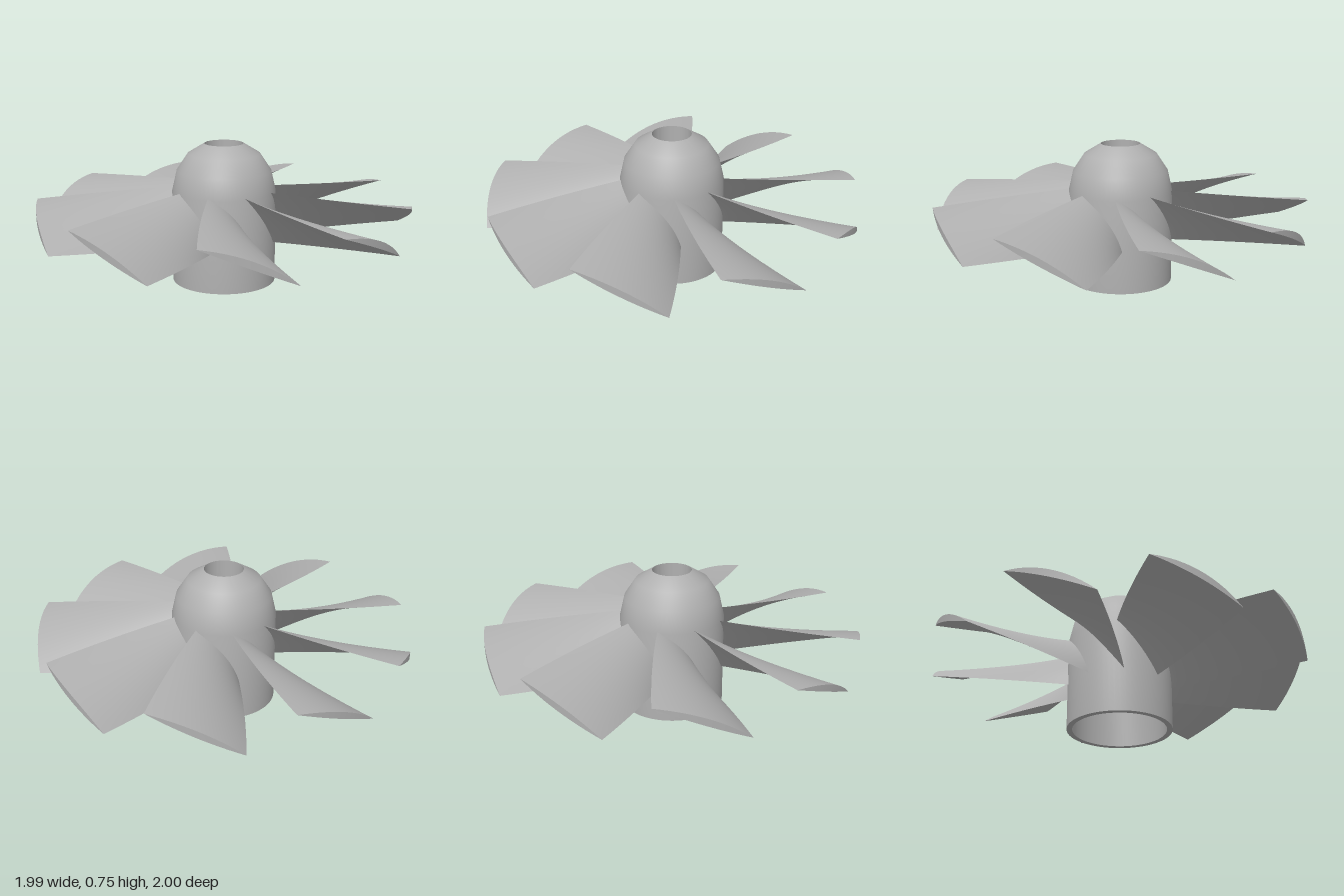
import * as THREE from 'three';
import { toCreasedNormals } from 'three/addons/utils/BufferGeometryUtils.js';

const BLADES = 9;

// Hollow hub: open cup below, domed nose with a counterbored shaft hole above
function hubGeometry() {
  const profile = [
    [0.05, 0.27], [0.25, 0.27], [0.25, 0], [0.28, 0], [0.28, 0.5],
    [0.255, 0.61], [0.195, 0.7], [0.105, 0.755],
    [0.105, 0.35], [0.05, 0.35], [0.05, 0.27],
  ].map(([r, y]) => new THREE.Vector2(r, y));
  return toCreasedNormals(new THREE.LatheGeometry(profile, 64), 0.5);
}

// Twisted, widening blade along +x, lofted from thin cambered sections
function bladeGeometry() {
  const stations = 14, n = 12, loop = 2 * n;
  const rootR = 0.262, tipR = 1;
  const positions = [], index = [];

  for (let j = 0; j <= stations; j++) {
    const u = j / stations;
    const r = THREE.MathUtils.lerp(rootR, tipR, u);
    const halfWidth = THREE.MathUtils.lerp(0.109, 0.232, u) + 0.045 * u * (1 - u);
    const halfRise = THREE.MathUtils.lerp(0.141, 0.0925, u);
    const length = Math.hypot(halfWidth, halfRise);
    for (let i = 0; i < loop; i++) {
      const upper = i <= n;
      const s = upper ? -1 + (2 * i) / n : 1 - (2 * (i - n)) / n;
      const bulge = (upper ? 0.04 : 0.004) * (1 - s * s);
      const z = s * halfWidth - (bulge * halfRise) / length;
      const y = 0.371 + s * halfRise + (bulge * halfWidth) / length;
      positions.push(Math.sqrt(r * r - z * z), y, z);
    }
  }

  // Skin between neighbouring sections
  for (let j = 0; j < stations; j++) {
    for (let i = 0; i < loop; i++) {
      const a = j * loop + i, b = j * loop + ((i + 1) % loop);
      index.push(a, b, a + loop, b, b + loop, a + loop);
    }
  }

  // Tip face between the upper and lower curves
  const tip = stations * loop;
  for (let i = 0; i < n; i++) {
    const a = tip + i, b = a + 1;
    const c = tip + (loop - i - 1), d = tip + ((loop - i) % loop);
    index.push(a, b, c, a, c, d);
  }

  const geometry = new THREE.BufferGeometry();
  geometry.setAttribute('position', new THREE.Float32BufferAttribute(positions, 3));
  geometry.setIndex(index);
  return toCreasedNormals(geometry, 0.5);
}

export function createModel() {
  const grey = new THREE.MeshStandardMaterial({ color: 0xb0b0b0 });
  grey.name = 'grey';

  const model = new THREE.Group();
  model.name = 'fanRotor';

  const hub = new THREE.Mesh(hubGeometry(), grey);
  hub.name = 'hub';
  model.add(hub);

  // Ring of identical blades
  const blades = new THREE.Group();
  blades.name = 'blades';
  const geometry = bladeGeometry();
  for (let k = 0; k < BLADES; k++) {
    const blade = new THREE.Mesh(geometry, grey);
    blade.name = `blade${k + 1}`;
    blade.rotation.y = (k * 2 * Math.PI) / BLADES;
    blades.add(blade);
  }
  model.add(blades);
  return model;
}
